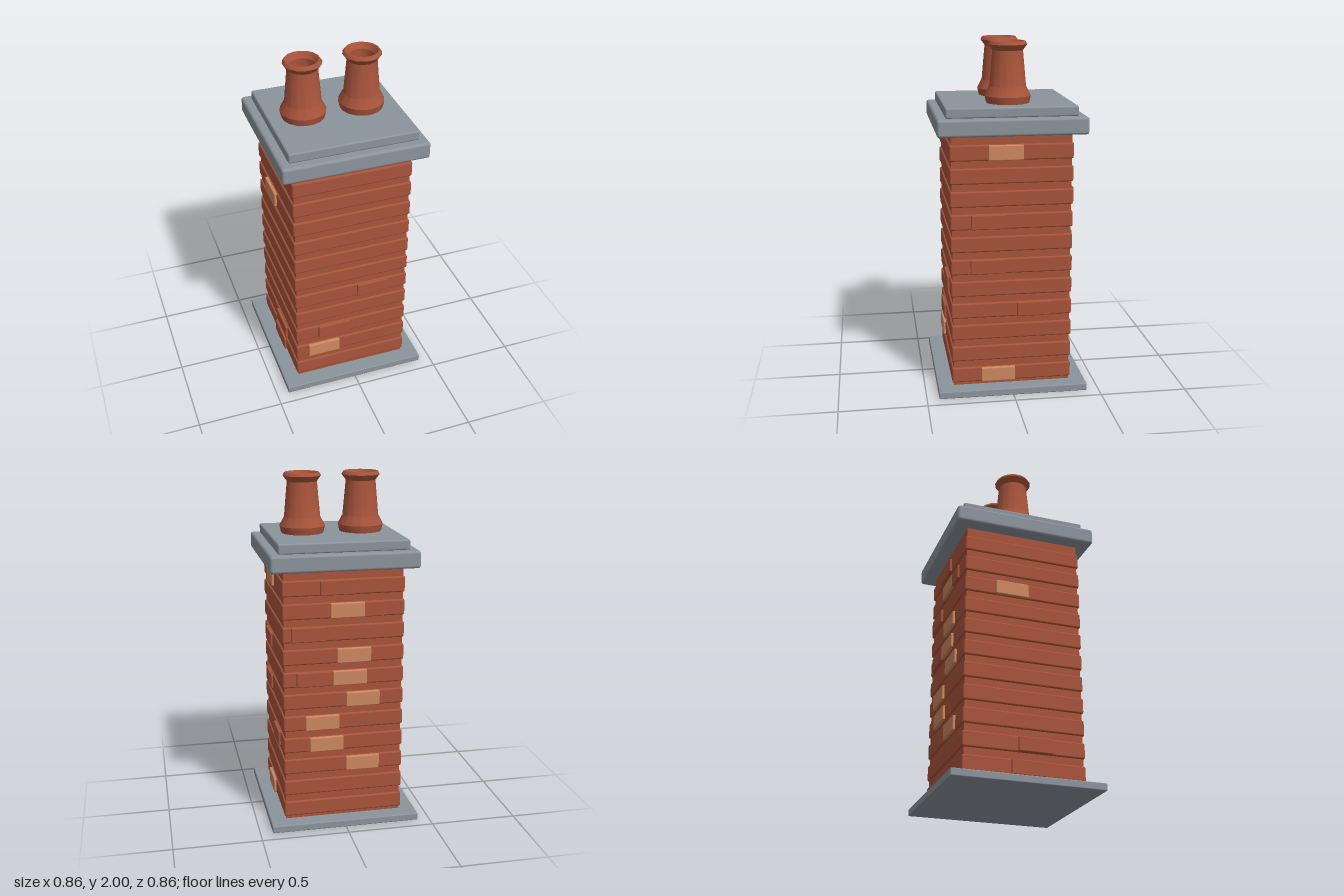
import * as THREE from 'three';
import { RoundedBoxGeometry } from 'three/addons/geometries/RoundedBoxGeometry.js';
import { toCreasedNormals } from 'three/addons/utils/BufferGeometryUtils.js';

const material = (name, color) => {
  const m = new THREE.MeshStandardMaterial({ color });
  m.name = name;
  return m;
};

export function createModel() {
  const model = new THREE.Group();
  model.name = 'chimney';
  const brick = material('red brick', 0xa8543b);
  const paleBrick = material('pale brick', 0xcd8861);
  const stone = material('grey stone', 0x8b949c);
  const soot = material('dark soot', 0x22302f);

  const add = (parent, name, geometry, mat, x = 0, y = 0, z = 0) => {
    const mesh = new THREE.Mesh(geometry, mat);
    mesh.name = name;
    mesh.position.set(x, y, z);
    parent.add(mesh);
    return mesh;
  };
  // Square slab with softened edges between two heights
  const slab = (name, width, y0, y1, bevel, mat) =>
    add(model, name, new RoundedBoxGeometry(width, y1 - y0, width, 2, bevel), mat, 0, (y0 + y1) / 2, 0);

  // Stone base and stepped cap
  slab('baseSlab', 0.86, 0, 0.042, 0.006, stone);
  slab('capSlab', 0.834, 1.507, 1.604, 0.016, stone);
  slab('upperCapSlab', 0.734, 1.602, 1.66, 0.01, stone);

  // Shaft with eleven raised courses
  add(model, 'shaftCore', new THREE.BoxGeometry(0.674, 1.5, 0.674), brick, 0, 0.77, 0);
  const courseY = (row) => 0.104 + 0.1304 * row;
  for (let row = 0; row < 11; row++) {
    slab('brickCourse', 0.694, courseY(row) - 0.045, courseY(row) + 0.045, 0.01, brick);
  }

  // Proud bricks on each wall: [row, offset to the viewer's right, pale]
  const walls = [
    { name: 'frontBricks', turn: 0, bricks: [[4, 0.13, 0], [2, -0.11, 0], [1, -0.175, 1]] },
    { name: 'leftBricks', turn: Math.PI / 2,
      bricks: [[10, -0.035, 1], [7, -0.132, 0], [5, -0.137, 0], [3, 0.128, 0], [0, -0.08, 1]] },
    { name: 'backBricks', turn: Math.PI,
      bricks: [[10, -0.037, 0], [9, 0.02, 1], [9, 0.13, 0], [8, -0.2, 0], [7, 0.057, 1], [6, 0.034, 1],
        [6, -0.172, 0], [5, 0.11, 1], [4, -0.124, 1], [3, -0.1, 1], [2, 0.11, 1]] },
    { name: 'rightBricks', turn: -Math.PI / 2, bricks: [[8, -0.07, 1], [1, 0.06, 0], [0, 0.02, 0]] },
  ];
  const redGeometry = new RoundedBoxGeometry(0.196, 0.084, 0.05, 2, 0.006);
  const paleGeometry = new RoundedBoxGeometry(0.196, 0.085, 0.052, 2, 0.006);
  for (const { name, turn, bricks } of walls) {
    const wall = new THREE.Group();
    wall.name = name;
    wall.rotation.y = turn;
    for (const [row, x, pale] of bricks) {
      add(wall, pale ? 'paleBrick' : 'redBrick', pale ? paleGeometry : redGeometry,
        pale ? paleBrick : brick, x, courseY(row), 0.335);
    }
    model.add(wall);
  }

  // Pair of flared pots, open at the top with a dark flue inside
  const profile = [
    [0.12, 1.655], [0.13, 1.7], [0.103, 1.752], [0.085, 1.95], [0.109, 1.982],
    [0.098, 2], [0.088, 2], [0.07, 1.97], [0.07, 1.8],
  ].map(([r, y]) => new THREE.Vector2(r, y));
  const potGeometry = toCreasedNormals(new THREE.LatheGeometry(profile, 16, Math.PI / 16), 0.5);
  const flueGeometry = new THREE.CircleGeometry(0.071, 16, Math.PI / 16).rotateX(-Math.PI / 2);
  for (const side of [-1, 1]) {
    const pot = new THREE.Group();
    pot.name = side > 0 ? 'leftPot' : 'rightPot';
    pot.position.x = 0.17 * side;
    add(pot, 'potWall', potGeometry, brick);
    add(pot, 'flue', flueGeometry, soot, 0, 1.81, 0);
    model.add(pot);
  }
  return model;
}
